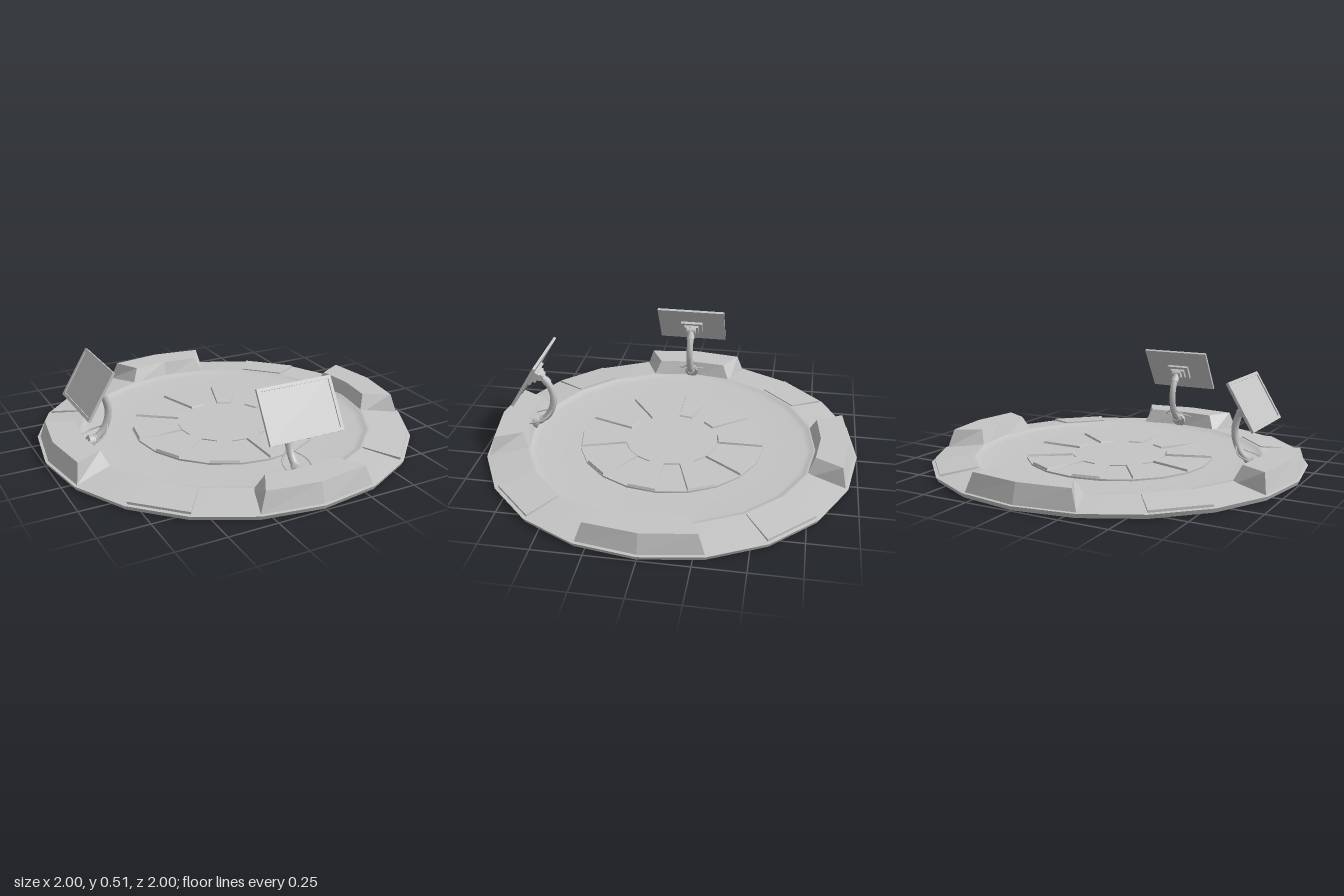
import * as THREE from 'three';

const grey = new THREE.MeshStandardMaterial({ color: 0xc4c4c4 });
grey.name = 'plain grey';

const DEG = Math.PI / 180;
// point from polar coordinates; angle 0 is the front (+z)
const polar = (r, deg, y) => [r * Math.sin(deg * DEG), y, r * Math.cos(deg * DEG)];

function add(parent, name, geometry, x = 0, y = 0, z = 0) {
  const mesh = new THREE.Mesh(geometry, grey);
  mesh.name = name;
  mesh.position.set(x, y, z);
  parent.add(mesh);
  return mesh;
}

// block between two matching loops (counter-clockwise from above), flat faces, open below
function loft(bottom, top) {
  const pos = [];
  const n = bottom.length;
  for (let i = 0; i < n; i++) {
    const j = (i + 1) % n;
    pos.push(...bottom[i], ...bottom[j], ...top[j], ...bottom[i], ...top[j], ...top[i]);
    if (i > 0 && i < n - 1) pos.push(...top[0], ...top[i], ...top[j]);
  }
  const geometry = new THREE.BufferGeometry();
  geometry.setAttribute('position', new THREE.Float32BufferAttribute(pos, 3));
  geometry.computeVertexNormals();
  return geometry;
}

const lathe = (points) => new THREE.LatheGeometry(points.map(([r, y]) => new THREE.Vector2(r, y)), 20);

// raised console bent over two sides of the rim; the inner middle corner comes first so the cap fans correctly
function consoleGeometry() {
  const loop = (rIn, aIn, rOut, aOut, y) => [
    polar(rIn, 0, y), polar(rIn, -aIn, y), polar(rOut, -aOut, y),
    polar(rOut, 0, y), polar(rOut, aOut, y), polar(rIn, aIn, y),
  ];
  return loft(loop(0.772, 18, 0.985, 18, 0.023), loop(0.802, 14, 0.955, 16.4, 0.122));
}

// slab over one side of the platform, optionally with inset sloping walls
function sectorGeometry(r0, r1, a0, a1, yBase, yIn, yOut, inset = 0) {
  const loop = (d, y0, y1) => [
    polar(r0 + d, a0 + d * 90, y0), polar(r1 - d, a0 + d * 90, y1),
    polar(r1 - d, a1 - d * 90, y1), polar(r0 + d, a1 - d * 90, y0),
  ];
  return loft(loop(0, yBase, yBase), loop(inset, yIn, yOut));
}

// tilted monitor on a curved arm, standing at the front console
function createStation() {
  const station = new THREE.Group();

  const monitor = new THREE.Group();
  monitor.name = 'monitor';
  monitor.position.set(0, 0.396, 0.758);
  monitor.rotation.x = -31 * DEG;
  station.add(monitor);

  const w = 0.199, h = 0.133, b = 0.016;
  const rectangle = (PathClass, x, y) => new PathClass([
    new THREE.Vector2(-x, -y), new THREE.Vector2(x, -y),
    new THREE.Vector2(x, y), new THREE.Vector2(-x, y),
  ]);
  const bezel = rectangle(THREE.Shape, w, h);
  bezel.holes.push(rectangle(THREE.Path, w - b, h - b));
  add(monitor, 'screenBezel', new THREE.ExtrudeGeometry(bezel, { depth: 0.006, bevelEnabled: false }));
  add(monitor, 'screenPanel', new THREE.BoxGeometry(2 * w, 2 * h, 0.008), 0, 0, -0.004);
  add(monitor, 'mountPlate', new THREE.BoxGeometry(0.13, 0.085, 0.016), 0, -0.01, -0.016);
  add(monitor, 'mountBlock', new THREE.BoxGeometry(0.085, 0.055, 0.016), 0, -0.01, -0.032);

  // swivel between mount and arm
  const swivel = add(station, 'swivel', new THREE.CylinderGeometry(0.021, 0.021, 0.055, 10), 0, 0.37, 0.722);
  swivel.rotation.z = Math.PI / 2;

  const arm = new THREE.CatmullRomCurve3([
    [0.375, 0.725], [0.32, 0.68], [0.235, 0.659], [0.155, 0.679], [0.105, 0.72], [0.075, 0.785],
  ].map(([y, z]) => new THREE.Vector3(0, y, z)));
  add(station, 'curvedArm', new THREE.TubeGeometry(arm, 14, 0.019, 8));

  // collars around the arm
  for (const t of [0.14, 0.86]) {
    const p = arm.getPoint(t);
    const collar = add(station, 'armCollar', new THREE.CylinderGeometry(0.023, 0.023, 0.03, 8), p.x, p.y, p.z);
    collar.quaternion.setFromUnitVectors(new THREE.Vector3(0, 1, 0), arm.getTangent(t));
  }

  // foot against the sloping console wall
  const foot = add(station, 'armFoot', new THREE.CylinderGeometry(0.032, 0.04, 0.03, 10), 0, 0.082, 0.765);
  foot.rotation.x = 70 * DEG;

  // thin flared side braces
  for (const s of [-1, 1]) {
    const brace = new THREE.CatmullRomCurve3([
      new THREE.Vector3(s * 0.015, 0.165, 0.672), new THREE.Vector3(s * 0.026, 0.148, 0.68),
      new THREE.Vector3(s * 0.05, 0.133, 0.695), new THREE.Vector3(s * 0.068, 0.118, 0.73),
      new THREE.Vector3(s * 0.065, 0.1, 0.785),
    ]);
    add(station, 'sideBrace', new THREE.TubeGeometry(brace, 10, 0.004, 5));
  }
  return station;
}

export function createModel() {
  const model = new THREE.Group();
  model.name = 'roundPlatform';

  // twenty-sided base with a sloping rim around a sunken floor
  add(model, 'underside', lathe([[0, 0], [0.99, 0]]));
  add(model, 'rimEdge', lathe([[0.99, 0], [1, 0.022]]));
  add(model, 'rim', lathe([[1, 0.022], [0.785, 0.047], [0.765, 0.045], [0.735, 0.027], [0.5, 0.025], [0, 0.025]]));

  // floor ring with alternating raised panels around the centre disc
  add(model, 'floorRing', new THREE.CylinderGeometry(0.5, 0.5, 0.014, 20), 0, 0.027, 0);
  add(model, 'centreDisc', new THREE.CylinderGeometry(0.25, 0.25, 0.019, 20), 0, 0.0295, 0);
  for (let k = 0; k < 10; k++) {
    add(model, 'floorPanel', sectorGeometry(0.25, 0.5, k * 36, k * 36 + 18, 0.03, 0.045, 0.045, 0.007));
  }

  // four consoles, and four low pads on the diagonals
  const consoleShape = consoleGeometry();
  for (let k = 0; k < 4; k++) {
    add(model, 'console', consoleShape).rotation.y = k * Math.PI / 2;
    const a = k * 90 + 36;
    add(model, 'rimPad', sectorGeometry(0.785, 0.982, a, a + 18, 0.023, 0.053, 0.036));
  }

  // monitors at the front and right consoles
  const front = createStation();
  front.name = 'frontStation';
  const right = createStation();
  right.name = 'rightStation';
  right.rotation.y = -Math.PI / 2;
  model.add(front, right);
  return model;
}
